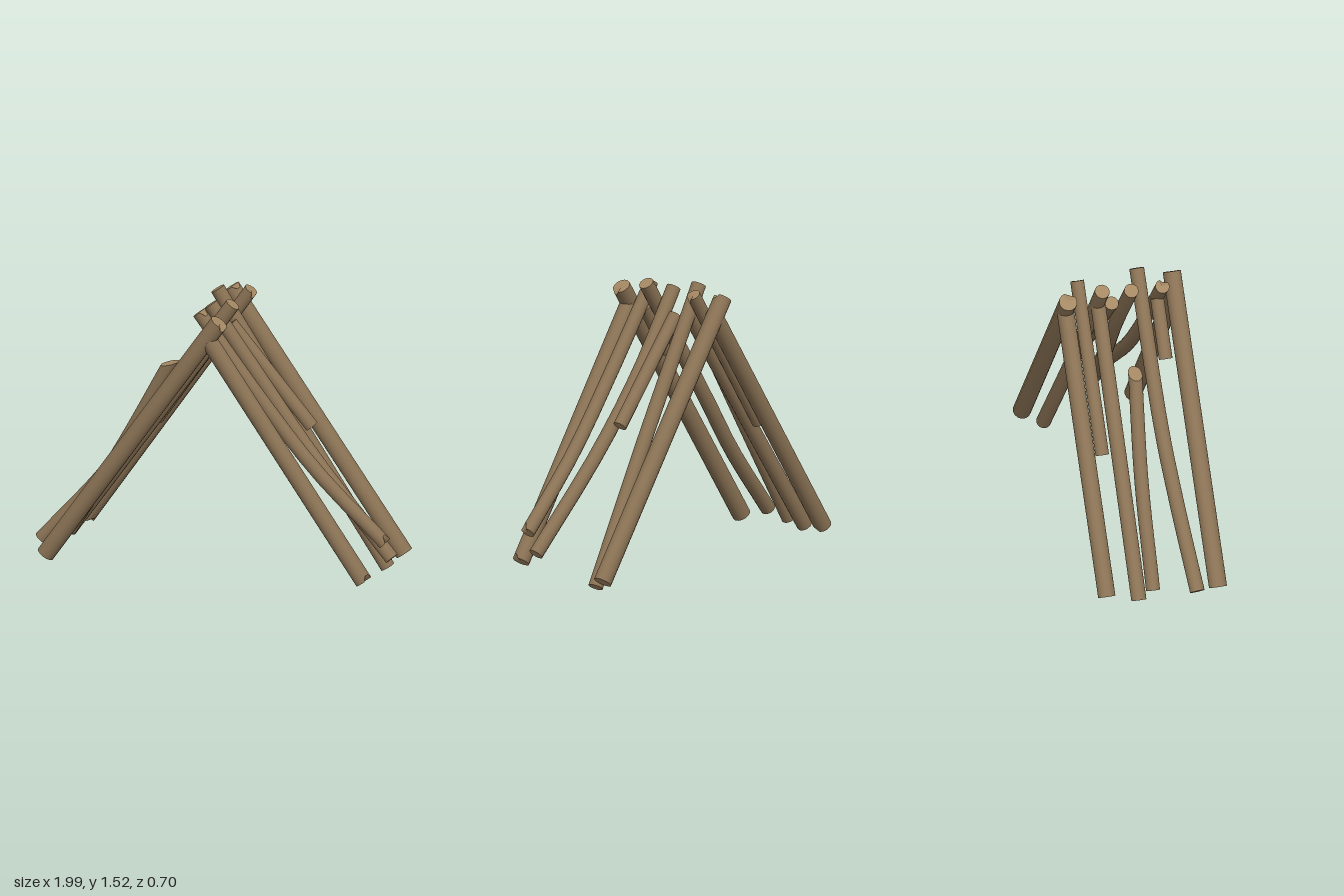
import * as THREE from 'three';

const SIDES = 14;

// Builds one log along a path; returns bark geometry and cut-end geometry.
// slant shears the last end along x; notch is a chip [startDepth, endDepth] split out of each end.
function logGeometries(points, radius, { slant = 0, notch = [0, 0] } = {}) {
  const curve = new THREE.CatmullRomCurve3(points.map(p => new THREE.Vector3(...p)));
  const segments = points.length > 2 ? 10 : 1;
  const bark = [], barkIndex = [], ends = [], endIndex = [];
  const zAxis = new THREE.Vector3(0, 0, 1);
  for (let i = 0; i <= segments; i++) {
    const centre = curve.getPoint(i / segments);
    const t = curve.getTangent(i / segments).normalize();
    const u = zAxis.clone().addScaledVector(t, -zAxis.dot(t)).normalize();
    const v = new THREE.Vector3().crossVectors(t, u);
    const first = i === 0, last = i === segments;
    const ring = [];
    for (let j = 0; j < SIDES; j++) {
      const a = (j / SIDES) * Math.PI * 2;
      const offset = u.clone().multiplyScalar(Math.cos(a) * radius)
        .addScaledVector(v, Math.sin(a) * radius);
      const p = centre.clone().add(offset);
      if (last) p.addScaledVector(t, slant * offset.x);
      if (j === 2 || j === 3) {
        if (first) p.addScaledVector(t, notch[0]);
        if (last) p.addScaledVector(t, -notch[1]);
      }
      bark.push(p.x, p.y, p.z);
      ring.push(p);
    }
    if (i < segments) {
      for (let j = 0; j < SIDES; j++) {
        const a = i * SIDES + j, b = i * SIDES + (j + 1) % SIDES;
        barkIndex.push(a, b, b + SIDES, a, b + SIDES, a + SIDES);
      }
    }
    if (first || last) {
      const base = ends.length / 3;
      ends.push(centre.x, centre.y, centre.z);
      ring.forEach(p => ends.push(p.x, p.y, p.z));
      for (let j = 0; j < SIDES; j++) {
        const a = base + 1 + j, b = base + 1 + (j + 1) % SIDES;
        endIndex.push(base, first ? b : a, first ? a : b);
      }
    }
  }
  const make = (positions, index) => {
    const g = new THREE.BufferGeometry();
    g.setAttribute('position', new THREE.Float32BufferAttribute(positions, 3));
    g.setIndex(index);
    g.computeVertexNormals();
    return g;
  };
  return [make(bark, barkIndex), make(ends, endIndex)];
}

export function createModel() {
  const barkMaterial = new THREE.MeshStandardMaterial({ color: 0x8b7355 });
  barkMaterial.name = 'bark';
  const cutMaterial = new THREE.MeshStandardMaterial({ color: 0xa58863 });
  cutMaterial.name = 'cutWood';

  const model = new THREE.Group();
  model.name = 'logShelter';

  function addLog(name, points, radius, options) {
    const [bark, ends] = logGeometries(points, radius, options);
    const group = new THREE.Group();
    group.name = name;
    const barkMesh = new THREE.Mesh(bark, barkMaterial);
    barkMesh.name = name + 'Bark';
    const endMesh = new THREE.Mesh(ends, cutMaterial);
    endMesh.name = name + 'Ends';
    group.add(barkMesh, endMesh);
    model.add(group);
  }

  // Front and back main frames: one long log over the ridge, one butting into it
  for (const s of [1, -1]) {
    const end = s > 0 ? 'front' : 'back';
    addLog(end + 'LongLog', [[-0.90 * s, 0.09, 0.3 * s], [0.065 * s, 1.475, 0.3 * s]], 0.049,
      { notch: [0, 0.025] });
    addLog(end + 'ButtingLog', [[0.87 * s, 0.115, 0.3 * s], [0.01 * s, 1.365, 0.3 * s]], 0.047,
      { notch: [0.025, 0] });
  }

  // Logs leaning on the +x side, foot first
  addLog('leftBackLog', [[0.84, 0.04, -0.198], [0.38, 0.78, -0.15], [-0.08, 1.52, -0.118]], 0.04);
  addLog('leftShortLog', [[0.47, 0.83, -0.045], [0.02, 1.36, -0.04]], 0.037);
  addLog('leftCrookedLog', [[0.965, 0.195, 0.112], [0.52, 0.69, 0.06], [0.22, 1.08, 0.035], [-0.065, 1.485, 0.045]], 0.039);
  addLog('leftBentLog', [[0.95, 0.3, 0.182], [0.57, 0.67, 0.195], [0.25, 1.06, 0.205], [-0.075, 1.49, 0.212]], 0.038,
    { notch: [0.035, 0.035] });

  // Logs leaning on the -x side, foot first
  addLog('rightShortLog', [[-0.45, 0.73, -0.215], [0.075, 1.5, -0.215]], 0.037, { notch: [0, 0.03] });
  addLog('rightBackLog', [[-0.91, 0.09, -0.135], [0, 1.38, -0.12]], 0.041);
  addLog('rightBrokenLog', [[-0.88, 0.12, -0.05], [-0.58, 0.62, -0.035], [-0.305, 1.12, 0.003]], 0.038,
    { slant: 1.1 });
  addLog('rightCrookedLog', [[-0.965, 0.13, 0.17], [-0.64, 0.5, 0.14], [-0.4, 0.83, 0.118], [0.08, 1.52, 0.112]], 0.04);
  addLog('rightStubLog', [[-0.19, 1.1, 0.2], [-0.01, 1.37, 0.2]], 0.037);

  return model;
}
